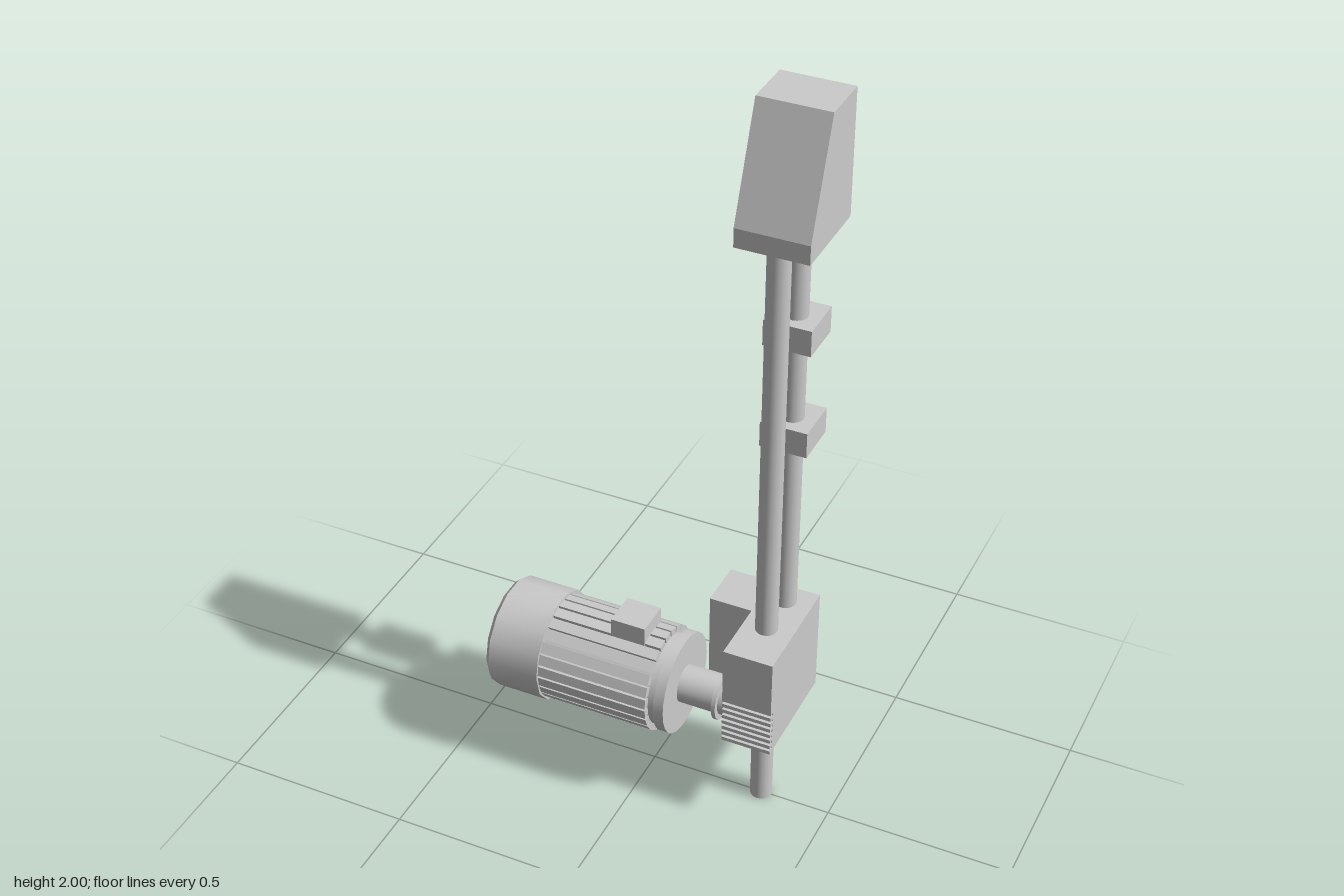
import * as THREE from 'three';
import { toCreasedNormals } from 'three/addons/utils/BufferGeometryUtils.js';

const grey = new THREE.MeshStandardMaterial({ color: 0xcccccc });
const MOTOR_Y = 0.332, MOTOR_Z = 0.039, ROD_X = 0.309;

function add(parent, name, geometry) {
  const mesh = new THREE.Mesh(geometry, grey);
  mesh.name = name;
  parent.add(mesh);
  return mesh;
}

// Box given by its extents on each axis
function box(x0, x1, y0, y1, z0, z1) {
  return new THREE.BoxGeometry(x1 - x0, y1 - y0, z1 - z0)
    .translate((x0 + x1) / 2, (y0 + y1) / 2, (z0 + z1) / 2);
}

// Side profile of [z, y] points extruded from x0 to x1
function extrudeX(points, x0, x1) {
  const shape = new THREE.Shape(points.map(([z, y]) => new THREE.Vector2(z, y)));
  return new THREE.ExtrudeGeometry(shape, { depth: x1 - x0, bevelEnabled: false })
    .rotateY(-Math.PI / 2).translate(x1, 0, 0);
}

// Turned part on the motor axis from [radius, x] points
function turned(points, sides) {
  const g = new THREE.LatheGeometry(points.map(([r, x]) => new THREE.Vector2(r, x)), sides);
  return toCreasedNormals(g.rotateZ(-Math.PI / 2), 0.6);
}

function rod(z, radius, y0, y1) {
  return new THREE.CylinderGeometry(radius, radius, y1 - y0, 16)
    .translate(ROD_X, (y0 + y1) / 2, z);
}

function createMotor() {
  const motor = new THREE.Group();
  motor.name = 'motor';
  motor.position.set(0, MOTOR_Y, MOTOR_Z);

  add(motor, 'fanCover', turned(
    [[0, -0.403], [0.138, -0.403], [0.15, -0.391], [0.15, -0.25], [0, -0.25]], 14));

  // Ribbed housing: wide ribs separated by narrow grooves
  const ribs = 26, outer = 0.142, inner = 0.126, profile = [];
  for (let i = 0; i < ribs; i++) {
    const mid = Math.PI / 2 + (i / ribs) * Math.PI * 2;
    const half = (Math.PI / ribs) * 0.82;
    for (const [r, a] of [[inner, -half], [outer, -half], [outer, half], [inner, half]]) {
      profile.push([Math.cos(mid + a) * r, Math.sin(mid + a) * r]);
    }
  }
  add(motor, 'ribbedHousing', extrudeX(profile, -0.25, 0.056));

  add(motor, 'endFlange', turned(
    [[0, 0.056], [0.124, 0.056], [0.124, 0.076], [0.136, 0.076], [0.136, 0.104], [0, 0.104]], 28));
  add(motor, 'shaftHousing', turned(
    [[0, 0.104], [0.051, 0.104], [0.051, 0.206], [0.066, 0.206], [0.066, 0.217],
      [0.051, 0.217], [0.051, 0.25], [0, 0.25]], 24));
  add(motor, 'terminalBox', box(-0.083, 0.012, 0.11, 0.181, -0.048, 0.048));
  return motor;
}

function createGearbox() {
  const gearbox = new THREE.Group();
  gearbox.name = 'gearbox';

  // Main block with horizontal grooves low on its front
  const front = 0.128, back = -0.18, bottom = 0.265, top = 0.557;
  const profile = [[back, top], [back, bottom], [front, bottom]];
  const grooves = 7, pitch = 0.0185;
  for (let i = 0; i < grooves; i++) {
    const y = bottom + 0.01 + i * pitch;
    profile.push([front, y], [front - 0.014, y], [front - 0.014, y + 0.008], [front, y + 0.008]);
  }
  profile.push([front, top]);
  add(gearbox, 'gearboxBlock', extrudeX(profile, 0.247, 0.38));
  add(gearbox, 'gearboxSideBlock', box(0.132, 0.247, bottom, top, back, -0.048));
  return gearbox;
}

export function createModel() {
  const model = new THREE.Group();
  model.name = 'rodDriveUnit';

  add(model, 'frontRod', rod(0, 0.029, 0, 1.68));
  add(model, 'backRod', rod(-0.121, 0.029, 0.55, 1.68));

  // Clamps on the back rod
  for (const y of [1.06, 1.35]) {
    add(model, 'rodClamp', box(0.247, 0.37, y, y + 0.07, -0.188, -0.065));
  }

  // Top housing with a sloped front
  add(model, 'topHousing', extrudeX(
    [[-0.192, 1.67], [0.05, 1.67], [0.05, 1.72], [-0.055, 2], [-0.192, 2]], 0.217, 0.403));

  model.add(createGearbox(), createMotor());
  return model;
}
